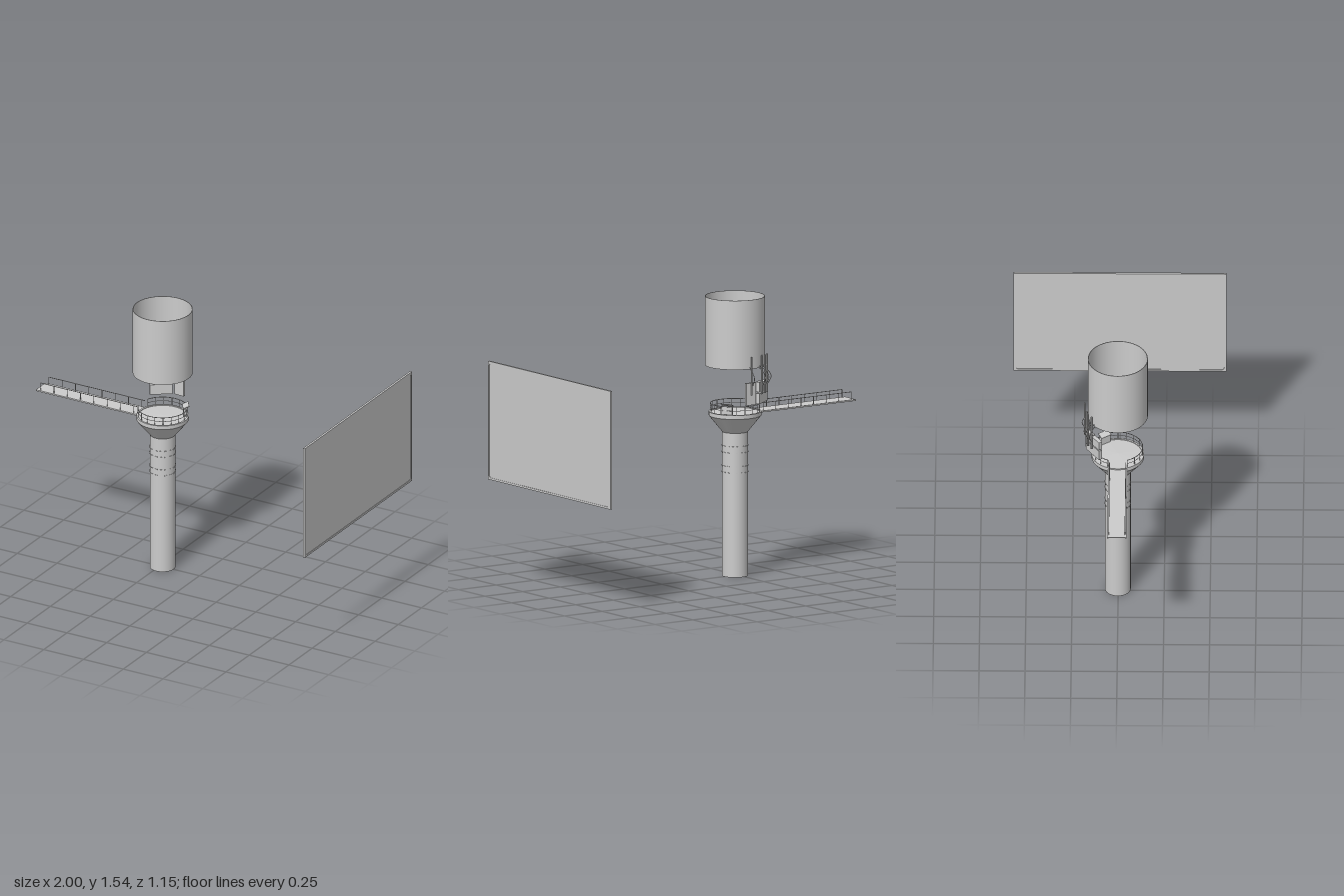
import * as THREE from 'three';

const CX = -0.233;
const mat = new THREE.MeshStandardMaterial({ color: 0xcccccc });
const thin = new THREE.MeshStandardMaterial({ color: 0xcccccc, side: THREE.DoubleSide });
const UP = new THREE.Vector3(0, 1, 0);

function add(parent, name, geometry, x = 0, y = 0, z = 0, material = mat) {
  const m = new THREE.Mesh(geometry, material);
  m.name = name;
  m.position.set(x, y, z);
  parent.add(m);
  return m;
}
const box = (p, name, w, h, d, x, y, z) => add(p, name, new THREE.BoxGeometry(w, h, d), x, y, z);

// Straight round bar between two points
function bar(parent, name, a, b, r = 0.0018) {
  const A = new THREE.Vector3(...a), B = new THREE.Vector3(...b);
  const mid = A.clone().add(B).multiplyScalar(0.5);
  const m = add(parent, name, new THREE.CylinderGeometry(r, r, A.distanceTo(B), 6), mid.x, mid.y, mid.z);
  m.quaternion.setFromUnitVectors(UP, B.sub(A).normalize());
}

// Profile turned round the tower axis, with sharp corners between segments
function turned(parent, name, profile) {
  const g = new THREE.Group();
  g.name = name;
  for (let i = 0; i < profile.length - 1; i++) {
    const pts = [profile[i], profile[i + 1]].map(p => new THREE.Vector2(...p));
    add(g, name + 'Surface', new THREE.LatheGeometry(pts, 48), 0, 0, 0, thin);
  }
  parent.add(g);
}

function rectPath(Type, w, h, r) {
  const s = new Type(), x = w / 2, y = h / 2;
  s.moveTo(-x + r, -y);
  s.lineTo(x - r, -y);
  s.quadraticCurveTo(x, -y, x, -y + r);
  s.lineTo(x, y - r);
  s.quadraticCurveTo(x, y, x - r, y);
  s.lineTo(-x + r, y);
  s.quadraticCurveTo(-x, y, -x, y - r);
  s.lineTo(-x, -y + r);
  s.quadraticCurveTo(-x, -y, -x + r, -y);
  return s;
}

// Column, flared head and the dashed step rings
function buildColumn(tower) {
  turned(tower, 'column', [[0, 0], [0.07, 0], [0.07, 0.8]]);
  turned(tower, 'flaredHead', [[0.07, 0.795], [0.143, 0.885], [0.143, 0.907], [0.132, 0.907], [0.132, 0.903], [0, 0.908]]);
  for (const y of [0.72, 0.685, 0.61, 0.575]) {
    for (let i = 0; i < 16; i++) {
      const a = i / 16 * Math.PI * 2;
      const step = box(tower, 'stepRung', 0.014, 0.004, 0.004, Math.sin(a) * 0.0705, y, Math.cos(a) * 0.0705);
      step.rotation.y = a;
    }
  }
}

// Railing round the platform, open where the walkway meets it
function buildPlatformRail(tower) {
  const rail = new THREE.Group();
  rail.name = 'platformRailing';
  tower.add(rail);
  const R = 0.135, gap = 0.4, n = 16;
  const at = t => -Math.PI + gap + t * (Math.PI * 2 - 2 * gap);
  for (let i = 0; i <= n; i++) {
    const a = at(i / n), x = Math.cos(a) * R, z = Math.sin(a) * R;
    bar(rail, 'railPost', [x, 0.905, z], [x, 0.952, z]);
  }
  for (const [y, r] of [[0.952, 0.0022], [0.93, 0.0015]]) {
    const pts = Array.from({ length: 41 }, (_, i) =>
      new THREE.Vector3(Math.cos(at(i / 40)) * R, y, Math.sin(at(i / 40)) * R));
    add(rail, 'handrail', new THREE.TubeGeometry(new THREE.CatmullRomCurve3(pts), 60, r, 5));
  }
  // Control console with a sloping lid near the back of the platform
  const desk = new THREE.Group();
  desk.name = 'controlConsole';
  desk.position.set(0.1, 0.908, -0.07);
  desk.rotation.y = Math.PI / 2 + 0.61;
  box(desk, 'consoleBody', 0.06, 0.042, 0.02, 0, 0.021, 0);
  const lid = box(desk, 'consoleLid', 0.064, 0.004, 0.036, 0, 0.052, 0.004);
  lid.rotation.x = -0.4;
  tower.add(desk);
}

// Long walkway on the right side
function buildWalkway(root) {
  const walk = new THREE.Group();
  walk.name = 'walkway';
  root.add(walk);
  const x0 = -1, x1 = -0.355;
  box(walk, 'walkwayDeck', x1 - x0, 0.004, 0.1, (x0 + x1) / 2, 0.898, -0.002);
  for (const z of [-0.051, 0.047]) {
    box(walk, 'walkwayBeam', x1 - x0, 0.008, 0.006, (x0 + x1) / 2, 0.896, z);
    const zr = z * 0.9;
    for (let i = 0; i < 8; i++) {
      const x = -0.974 + i * 0.0835;
      bar(walk, 'railPost', [x, 0.895, zr], [x, 0.943, zr]);
    }
    bar(walk, 'handrail', [-0.974, 0.943, zr], [-0.37, 0.943, zr], 0.002);
  }
  for (let i = 0; i < 8; i++) box(walk, 'crossBeam', 0.005, 0.007, 0.1, -0.974 + i * 0.0835, 0.8965, -0.002);
}

// Open drum with a ribbed floor
function buildDrum(tower) {
  turned(tower, 'drum', [[0.157, 1.162], [0.163, 1.162], [0.163, 1.543], [0.16, 1.543], [0.16, 1.175]]);
  turned(tower, 'drumFloor', [[0.161, 1.175], [0.14, 1.175], [0.14, 1.181], [0.115, 1.181], [0.115, 1.176], [0.03, 1.19], [0, 1.197]]);
  for (const r of [0.14, 0.085, 0.035]) {
    const ring = add(tower, 'floorRing', new THREE.TorusGeometry(r, 0.004, 6, 40), 0, 1.172, 0);
    ring.rotation.x = Math.PI / 2;
  }
  for (let i = 0; i < 12; i++) {
    const a = i / 12 * Math.PI * 2;
    const rib = box(tower, 'floorRib', 0.11, 0.01, 0.005, Math.cos(a) * 0.09, 1.173, -Math.sin(a) * 0.09);
    rib.rotation.y = a;
  }
}

// Cabinets hung behind the tower, with their support posts and cables
function buildCabinets(tower) {
  const left = new THREE.Group();
  left.name = 'cabinetCluster';
  left.position.set(-0.085, 0, -0.128);
  left.rotation.y = 0.6;
  box(left, 'upperCabinetWide', 0.07, 0.05, 0.022, -0.027, 1.055, 0);
  box(left, 'upperCabinetNarrow', 0.05, 0.056, 0.022, 0.034, 1.058, 0);
  box(left, 'lowerCabinet', 0.124, 0.058, 0.022, 0, 0.994, 0);
  tower.add(left);
  const panel = box(tower, 'tallCabinet', 0.06, 0.122, 0.016, 0.012, 1.026, -0.165);
  panel.rotation.y = -0.08;

  for (const [x, z] of [[-0.113, -0.142], [-0.086, -0.161], [-0.06, -0.17], [0.016, -0.18]]) {
    bar(tower, 'supportPost', [x, 1.02, z], [x, 1.232, z], 0.005);
    const inner = [x * 0.75, 1.17, z * 0.75];
    bar(tower, 'postBracket', [x, 1.17, z], inner, 0.003);
    const path = new THREE.CatmullRomCurve3([
      new THREE.Vector3(x - 0.006, 1.07, z),
      new THREE.Vector3(x * 1.08 - 0.01, 1.11, z * 1.08),
      new THREE.Vector3(x * 0.95 - 0.006, 1.15, z * 0.95),
      new THREE.Vector3(x * 0.75, 1.172, z * 0.75)]);
    add(tower, 'cable', new THREE.TubeGeometry(path, 16, 0.002, 5));
  }
}

// Large upright screen: rounded frame opening round a recessed sheet
function buildScreen(root) {
  const screen = new THREE.Group();
  screen.name = 'screen';
  screen.position.set(0.994, 0.8985, 0);
  screen.rotation.y = Math.PI / 2;
  const W = 1.155, H = 0.653;
  const shape = rectPath(THREE.Shape, W, H, 0.002);
  shape.holes.push(rectPath(THREE.Path, W - 0.022, H - 0.022, 0.016));
  const frame = new THREE.ExtrudeGeometry(shape, { depth: 0.012, bevelEnabled: false, curveSegments: 6 });
  add(screen, 'screenFrame', frame, 0, 0, -0.006);
  box(screen, 'screenSheet', W - 0.012, H - 0.012, 0.006, 0, 0, 0);
  root.add(screen);
}

export function createModel() {
  const root = new THREE.Group();
  root.name = 'towerAndScreen';
  const tower = new THREE.Group();
  tower.name = 'tower';
  tower.position.set(CX, 0, -0.002);
  root.add(tower);
  buildColumn(tower);
  buildPlatformRail(tower);
  buildDrum(tower);
  buildCabinets(tower);
  buildWalkway(root);
  buildScreen(root);
  return root;
}
